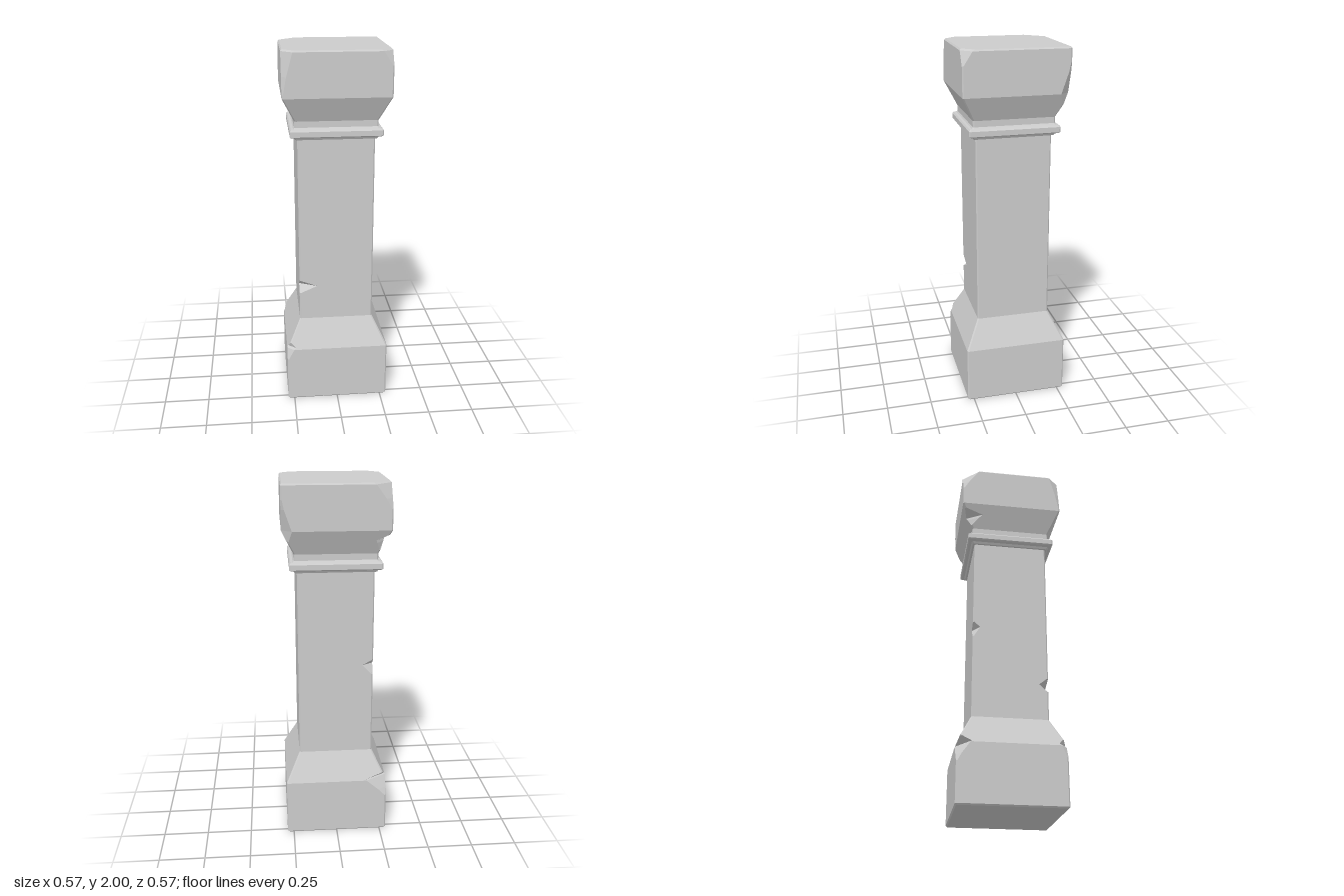
import * as THREE from 'three';

const BEVEL = 0.007;
const CORNERS = [[1, 1], [1, -1], [-1, -1], [-1, 1]];

// Chips in the corner edges: [top y, deepest y, bottom y], cut along x, cut along z
const chip = (sx, sz, ys, cx, cz) => ({ sx, sz, ys, cx, cz });
const baseChips = [
  chip(-1, -1, [0.36, 0.325, 0.22], 0.12, 0.075),
  chip(-1, 1, [0.355, 0.33, 0.26], 0.045, 0.04),
];
const shaftChips = [
  chip(-1, 1, [0.715, 0.68, 0.64], 0.1, 0.05),
  chip(-1, -1, [1.03, 1.0, 0.945], 0.06, 0.04),
];
const capChips = [
  chip(1, 1, [2.1, 2.0, 1.92], 0.06, 0.06),
  chip(-1, 1, [2.1, 2.0, 1.78], 0.06, 0.06),
  chip(-1, -1, [2.1, 2.0, 1.87], 0.095, 0.095),
  chip(1, -1, [1.92, 1.76, 1.69], 0.055, 0.055),
  chip(-1, -1, [1.735, 1.705, 1.65], 0.055, 0.09),
];

// Depth of a chip (0..1) at height y
function depth([top, mid, bottom], y) {
  const t = y > mid ? (top - y) / (top - mid) : (y - bottom) / (mid - bottom);
  return Math.max(0, t);
}

// Half width of the profile at height y
function halfWidth(profile, y) {
  for (let i = 1; i < profile.length; i++) {
    const [h0, y0] = profile[i - 1], [h1, y1] = profile[i];
    if (y <= y1) return h0 + (h1 - h0) * (y - y0) / (y1 - y0);
  }
  return profile[profile.length - 1][0];
}

// Square cross-section with each corner cut off, counter-clockwise from above
function section(profile, chips, y) {
  const h = halfWidth(profile, y);
  return CORNERS.flatMap(([sx, sz]) => {
    let cx = BEVEL, cz = BEVEL;
    for (const c of chips) {
      if (c.sx !== sx || c.sz !== sz) continue;
      const d = depth(c.ys, y);
      cx = Math.max(cx, c.cx * d);
      cz = Math.max(cz, c.cz * d);
    }
    const a = [sx * (h - cx), y, sz * h];
    const b = [sx * h, y, sz * (h - cz)];
    return sx * sz > 0 ? [a, b] : [b, a];
  });
}

// Stack of cross-sections joined into a closed block
function block(name, profile, chips, material) {
  const yMin = profile[0][1], yMax = profile[profile.length - 1][1];
  const levels = [...profile.map((p) => p[1]), ...chips.flatMap((c) => c.ys)];
  const ys = [...new Set(levels)].filter((y) => y >= yMin && y <= yMax).sort((a, b) => a - b);
  const rings = ys.map((y) => section(profile, chips, y));
  const pos = [];
  const tri = (a, b, c) => pos.push(...a, ...b, ...c);
  for (let r = 0; r + 1 < rings.length; r++) {
    const lo = rings[r], hi = rings[r + 1];
    for (let i = 0; i < 8; i++) {
      const j = (i + 1) % 8;
      tri(lo[i], lo[j], hi[j]);
      tri(lo[i], hi[j], hi[i]);
    }
  }
  const bottom = rings[0], top = rings[rings.length - 1];
  for (let i = 1; i < 7; i++) {
    tri(top[0], top[i], top[i + 1]);
    tri(bottom[0], bottom[i + 1], bottom[i]);
  }
  const geometry = new THREE.BufferGeometry();
  geometry.setAttribute('position', new THREE.Float32BufferAttribute(pos, 3));
  geometry.computeVertexNormals();
  const mesh = new THREE.Mesh(geometry, material);
  mesh.name = name;
  return mesh;
}

export function createModel() {
  const stone = new THREE.MeshStandardMaterial({ color: 0xcccccc, flatShading: true });
  const group = new THREE.Group();
  group.name = 'stonePillar';
  // Profiles are [half width, height] from the bottom up
  group.add(
    block('base', [[0.279, 0], [0.286, 0.008], [0.286, 0.32], [0.207, 0.48]], baseChips, stone),
    block('shaft', [[0.207, 0.48], [0.207, 1.535]], shaftChips, stone),
    block('collar', [[0.218, 1.53], [0.225, 1.541], [0.24, 1.545], [0.247, 1.551], [0.247, 1.579],
      [0.24, 1.587], [0.228, 1.589], [0.222, 1.597], [0.222, 1.63]], [], stone),
    block('capital', [[0.222, 1.63], [0.286, 1.76], [0.286, 1.992], [0.279, 2]], capChips, stone),
  );
  return group;
}
